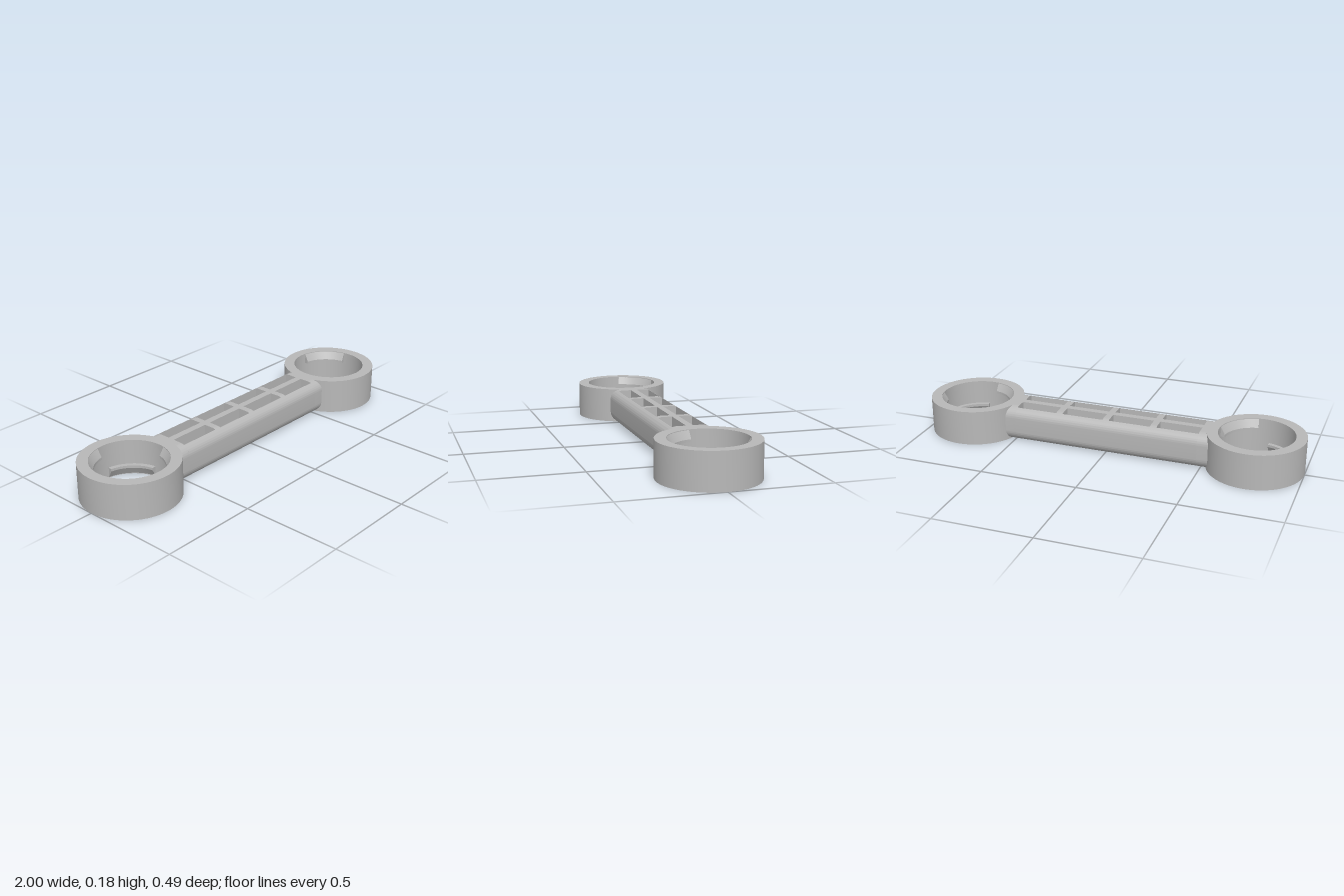
import * as THREE from 'three';
import { toCreasedNormals } from 'three/addons/utils/BufferGeometryUtils.js';

const H = 0.182;                         // overall height
const RING_X = 0.755, R_OUT = 0.245, R_IN = 0.19, R_LIP = 0.168;
const ARM_W = 0.12, FILLET = 0.055;      // arm half width and edge rounding
const ARM_END = 0.55;
const POCKET_IN = 0.017, POCKET_OUT = 0.086, POCKET_LEN = 0.217, PITCH = 0.251;

export function createModel() {
  const model = new THREE.Group();
  const grey = new THREE.MeshStandardMaterial({ color: 0xb8b8b8, side: THREE.DoubleSide });
  grey.name = 'grey plastic';

  const add = (parent, name, geometry) => {
    const mesh = new THREE.Mesh(geometry, grey);
    mesh.name = name;
    parent.add(mesh);
    return mesh;
  };
  const vec = ([x, y]) => new THREE.Vector2(x, y);

  // Half height of the rounded arm section at distance z from its middle
  const halfHeight = (z) => {
    const d = Math.max(0, Math.abs(z) - (ARM_W - FILLET));
    return H / 2 - FILLET + Math.sqrt(Math.max(0, FILLET * FILLET - d * d));
  };

  // Slice of the arm section between z0 and z1, extruded from x0 to x1
  const armPiece = (z0, z1, x0, x1) => {
    const upper = [], lower = [], steps = 48;
    for (let i = 0; i <= steps; i++) {
      const z = z0 + (z1 - z0) * 0.5 * (1 - Math.cos(Math.PI * i / steps));
      const h = halfHeight(z);
      lower.push(new THREE.Vector2(-z, H / 2 - h));
      upper.unshift(new THREE.Vector2(-z, H / 2 + h));
    }
    const geometry = new THREE.ExtrudeGeometry(new THREE.Shape([...lower, ...upper]),
      { depth: x1 - x0, bevelEnabled: false });
    geometry.rotateY(Math.PI / 2).translate(x0, 0, 0);
    return toCreasedNormals(geometry, 0.6);
  };

  // Arm: rounded side rails, centre rib, cross ribs, solid ends and a middle web
  const arm = new THREE.Group();
  arm.name = 'arm';
  model.add(arm);
  const pocketEnd = 1.5 * PITCH + POCKET_LEN / 2;
  add(arm, 'leftEndBlock', armPiece(-ARM_W, ARM_W, pocketEnd, ARM_END));
  add(arm, 'rightEndBlock', armPiece(-ARM_W, ARM_W, -ARM_END, -pocketEnd));
  add(arm, 'frontRail', armPiece(POCKET_OUT, ARM_W, -pocketEnd, pocketEnd));
  add(arm, 'backRail', armPiece(-ARM_W, -POCKET_OUT, -pocketEnd, pocketEnd));
  add(arm, 'centreRib', armPiece(-POCKET_IN, POCKET_IN, -pocketEnd, pocketEnd));
  const ribHalf = (PITCH - POCKET_LEN) / 2;
  for (const i of [-1, 0, 1]) {
    for (const [z0, z1] of [[-POCKET_OUT, -POCKET_IN], [POCKET_IN, POCKET_OUT]]) {
      add(arm, 'crossRib', armPiece(z0, z1, i * PITCH - ribHalf, i * PITCH + ribHalf));
    }
  }
  add(arm, 'web', new THREE.BoxGeometry(2 * pocketEnd, 0.036, 2 * POCKET_OUT).translate(0, H / 2, 0));

  // Ring wall
  const ringProfile = [[R_IN, 0], [R_OUT, 0], [R_OUT, H], [R_IN, H], [R_IN, 0]].map(vec);
  const ringGeometry = toCreasedNormals(new THREE.LatheGeometry(ringProfile, 72), 0.6);

  // Wedge-shaped snap lip, sloping in from the rim to a flat catch
  const topLip = [[R_IN + 0.005, H - 0.055], [R_IN + 0.005, H - 0.003], [R_IN, H - 0.003],
    [R_LIP, H - 0.042], [R_LIP, H - 0.055]];
  const bottomLip = topLip.map(([r, y]) => [r, H - y]).reverse();
  const half = THREE.MathUtils.degToRad(36);

  for (const side of [1, -1]) {
    const ring = new THREE.Group();
    ring.name = side > 0 ? 'leftRing' : 'rightRing';
    ring.position.x = side * RING_X;
    model.add(ring);
    add(ring, 'ringWall', ringGeometry);

    // Four lips, alternating between the top and bottom rims
    for (const sx of [-1, 1]) {
      for (const sz of [-1, 1]) {
        const profile = (sx * sz * side < 0 ? topLip : bottomLip).map(vec);
        const mid = Math.atan2(sx, sz);
        const lathe = new THREE.LatheGeometry([...profile, profile[0].clone()], 16, mid - half, 2 * half);
        add(ring, 'snapLip', toCreasedNormals(lathe, 0.4));
        for (const end of [-half, half]) {
          const cap = new THREE.ShapeGeometry(new THREE.Shape(profile));
          add(ring, 'snapLipEnd', cap.rotateY(mid + end - Math.PI / 2));
        }
      }
    }
  }
  return model;
}
